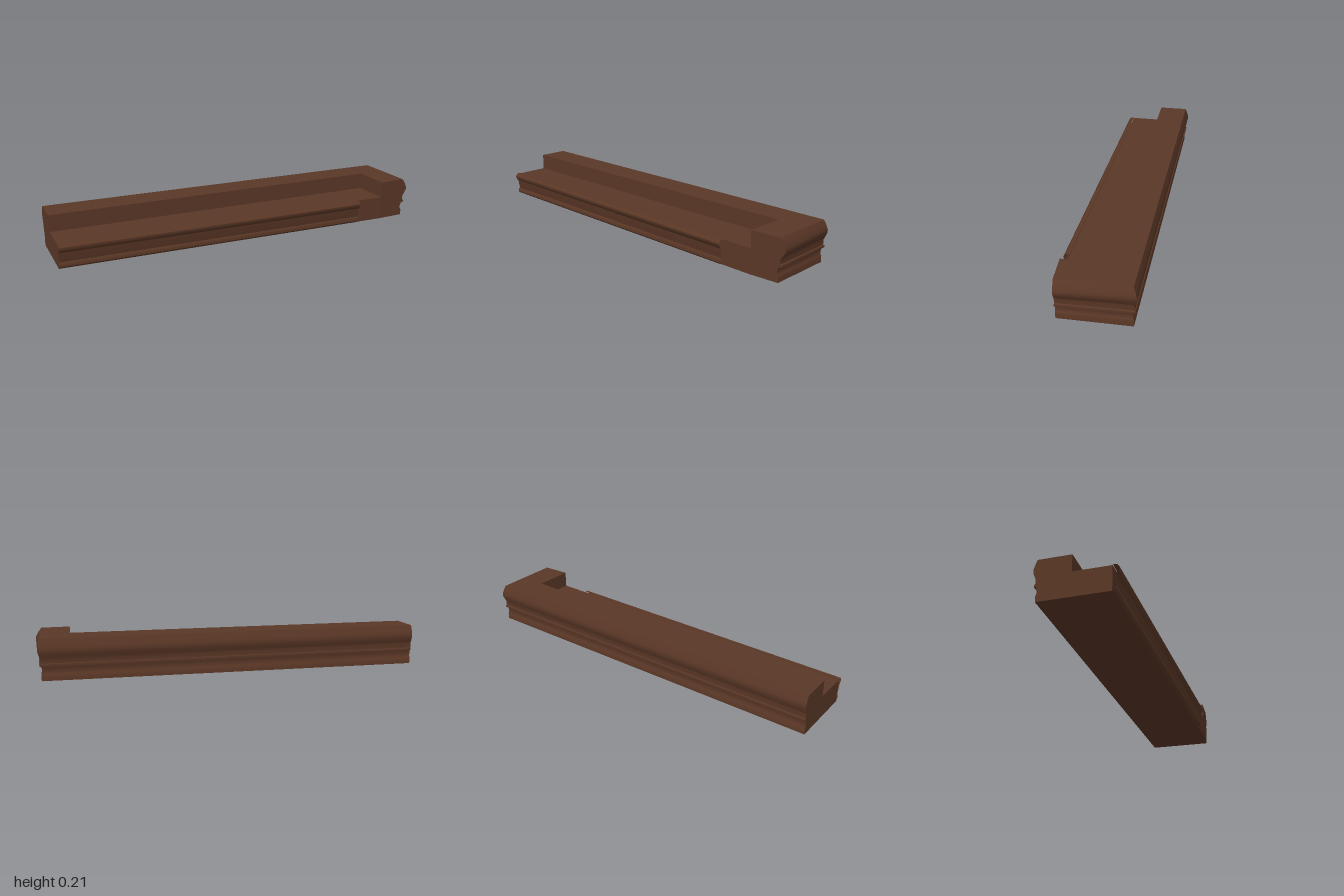
import * as THREE from 'three';
import { toCreasedNormals } from 'three/addons/utils/BufferGeometryUtils.js';

// Moulding profile from bottom to top: [height, projection]
const PROFILE = [
  [0, 0], [0.032, 0], [0.036, -0.004], [0.045, -0.007], [0.056, -0.007], [0.066, -0.003], [0.074, 0.001],
  [0.075, 0.016], [0.086, 0.016], [0.088, 0.007], [0.115, 0.007], [0.122, 0.013],
  [0.135, 0.022], [0.148, 0.029], [0.162, 0.03], [0.175, 0.024], [0.19, 0.016], [0.212, 0],
];
// Front trim section: [z, y], open sheet
const TRIM = [
  [0.178, 0.128], [0.195, 0.128], [0.207, 0.114], [0.207, 0.106], [0.201, 0.093], [0.192, 0.084],
  [0.189, 0.062], [0.183, 0.034], [0.188, 0.034], [0.192, 0.027], [0.192, 0.012], [0.187, 0.005], [0.177, 0],
];
const TOP = 0.212, LEDGE = 0.125, STEP_X = 0.82, STEP_Z = -0.03;

// Three corners of the tapering moulded run
const backLeft = ([y, o]) => [-1, y, -0.19 - 0.6 * o];
const backRight = ([y, o]) => [0.967 + 0.5 * o, y, -0.18 - 0.5 * o];
const frontRight = ([y, o]) => [0.969 + o, y, 0.177 - (0.149 + o) * 0.06];

function geometryOf(positions, crease) {
  const g = new THREE.BufferGeometry();
  g.setAttribute('position', new THREE.Float32BufferAttribute(positions, 3));
  return toCreasedNormals(g, crease);
}

// Strip joining two rows of points
function strip(a, b) {
  const out = [];
  for (let i = 0; i < a.length - 1; i++) {
    out.push(...a[i], ...b[i], ...b[i + 1], ...a[i], ...b[i + 1], ...a[i + 1]);
  }
  return out;
}

// Filled outline whose front looks along the sign of one axis
function face(points, axis, sign) {
  const [u, v] = [0, 1, 2].filter((k) => k !== axis);
  const flat = points.map((p) => new THREE.Vector2(p[u], p[v]));
  const out = [];
  const vec = (p) => new THREE.Vector3(...p);
  for (const t of THREE.ShapeUtils.triangulateShape(flat, [])) {
    const [a, b, c] = t.map((i) => points[i]);
    const n = vec(b).sub(vec(a)).cross(vec(c).sub(vec(a)));
    out.push(...a, ...(n.getComponent(axis) * sign > 0 ? [...b, ...c] : [...c, ...b]));
  }
  return out;
}

export function createModel() {
  const group = new THREE.Group();
  const wood = new THREE.MeshStandardMaterial({ color: 0x5a3726 });
  wood.name = 'dark brown wood';
  const woodSheet = wood.clone();
  woodSheet.side = THREE.DoubleSide;

  const add = (name, positions, material = wood, crease = 0.6) => {
    const mesh = new THREE.Mesh(geometryOf(positions, crease), material);
    mesh.name = name;
    group.add(mesh);
  };

  const bl = PROFILE.map(backLeft), br = PROFILE.map(backRight), fr = PROFILE.map(frontRight);
  const last = PROFILE.length - 1;
  const frontZ = { left: 0.152, step: 0.177 };

  // Moulded back and right end, meeting at a mitre
  add('backMoulding', strip(br, bl));
  add('endMoulding', strip(fr, br));

  // Flat faces of the block
  add('leftEnd', face([...bl, [-1, TOP, STEP_Z], [-1, LEDGE, STEP_Z],
    [-1, LEDGE, frontZ.left], [-1, 0, frontZ.left]], 0, -1));
  add('frontReturn', face([...fr, [STEP_X, TOP, frontZ.step], [STEP_X, 0, frontZ.step]], 2, 1));
  add('frontFace', face([[-1, 0, frontZ.left], [STEP_X, 0, frontZ.step],
    [STEP_X, LEDGE, frontZ.step], [-1, LEDGE, frontZ.left]], 2, 1));
  add('base', face([bl[0], br[0], fr[0], [STEP_X, 0, frontZ.step], [-1, 0, frontZ.left]], 1, -1));
  add('top', face([bl[last], br[last], fr[last], [STEP_X, TOP, frontZ.step],
    [STEP_X, TOP, STEP_Z], [-1, TOP, STEP_Z]], 1, 1));

  // Recessed ledge and its two walls
  add('ledge', face([[-1, LEDGE, STEP_Z], [STEP_X, LEDGE, STEP_Z],
    [STEP_X, LEDGE, frontZ.step], [-1, LEDGE, frontZ.left]], 1, 1));
  add('ledgeBackWall', face([[-1, LEDGE, STEP_Z], [STEP_X, LEDGE, STEP_Z],
    [STEP_X, TOP, STEP_Z], [-1, TOP, STEP_Z]], 2, 1));
  add('ledgeSideWall', face([[STEP_X, LEDGE, STEP_Z], [STEP_X, LEDGE, frontZ.step],
    [STEP_X, TOP, frontZ.step], [STEP_X, TOP, STEP_Z]], 0, -1));

  // Thin open trim along the front
  const trimLeft = TRIM.map(([z, y]) => [-1, y, z - 0.025]);
  const trimRight = TRIM.map(([z, y]) => [0.66, y, z]);
  add('frontTrim', strip(trimRight, trimLeft).length ? strip(trimLeft, trimRight).reverse().length
    && strip(trimLeft.slice().reverse(), trimRight.slice().reverse()) : [], woodSheet);

  return group;
}
